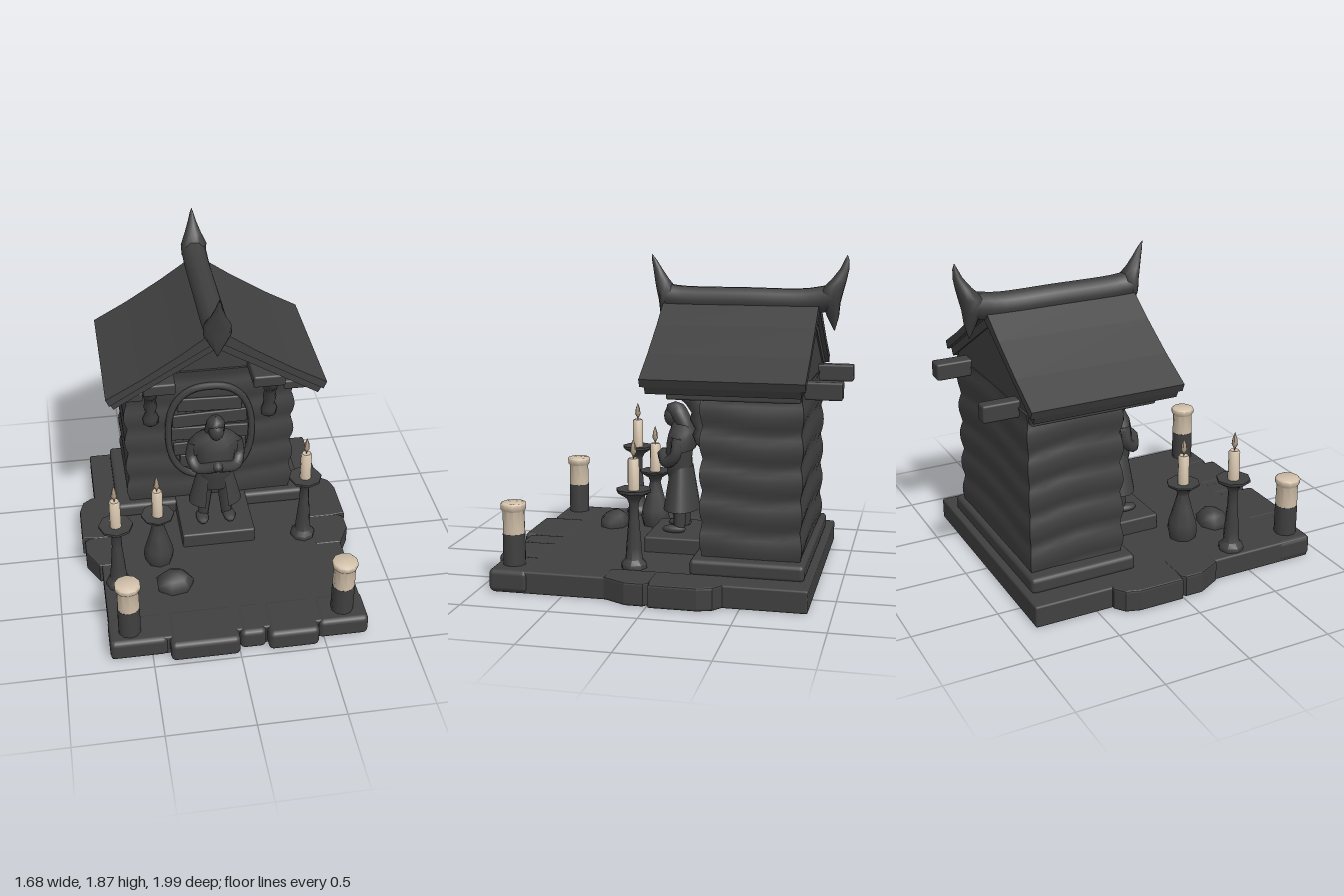
import * as THREE from 'three';
import { toCreasedNormals } from 'three/addons/utils/BufferGeometryUtils.js';
import { RoundedBoxGeometry } from 'three/addons/geometries/RoundedBoxGeometry.js';

const stone = new THREE.MeshStandardMaterial({ color: 0x404040, side: THREE.DoubleSide });
stone.name = 'dark stone';
const wax = new THREE.MeshStandardMaterial({ color: 0xd2c1aa });
wax.name = 'cream wax';
const glow = new THREE.MeshStandardMaterial({ color: 0xa8967e });
glow.name = 'flame tan';

const V = (x, y, z) => new THREE.Vector3(x, y, z);

function add(parent, name, geometry, material = stone, x = 0, y = 0, z = 0) {
  const m = new THREE.Mesh(geometry, material);
  m.name = name;
  m.position.set(x, y, z);
  parent.add(m);
  return m;
}

function group(parent, name) {
  const g = new THREE.Group();
  g.name = name;
  parent.add(g);
  return g;
}

// Box given by its limits on each axis
function block(parent, name, [x0, x1], [y0, y1], [z0, z1], r = 0.012) {
  return add(parent, name, new RoundedBoxGeometry(x1 - x0, y1 - y0, z1 - z0, 2, r),
    stone, (x0 + x1) / 2, (y0 + y1) / 2, (z0 + z1) / 2);
}

// Stack of ellipses, bottom to top; each row is [y, z centre, x radius, z radius]
function loft(rows, n = 12, xc = 0) {
  const pos = [], idx = [];
  for (const [y, z, rx, rz] of rows)
    for (let i = 0; i < n; i++) {
      const a = (i / n) * Math.PI * 2;
      pos.push(xc + rx * Math.cos(a), y, z + rz * Math.sin(a));
    }
  for (let r = 0; r < rows.length - 1; r++)
    for (let i = 0; i < n; i++) {
      const p = r * n + i, q = r * n + ((i + 1) % n);
      idx.push(p, p + n, q, q, p + n, q + n);
    }
  const g = new THREE.BufferGeometry();
  g.setAttribute('position', new THREE.Float32BufferAttribute(pos, 3));
  g.setIndex(idx);
  g.computeVertexNormals();
  return g;
}

function lathe(points, n = 8) {
  return toCreasedNormals(new THREE.LatheGeometry(points.map(p => new THREE.Vector2(...p)), n), 0.9);
}

// Front silhouette pushed along z
function prism(points, z0, z1) {
  const s = new THREE.Shape(points.map(p => new THREE.Vector2(...p)));
  return new THREE.ExtrudeGeometry(s, { depth: z1 - z0, bevelEnabled: false }).translate(0, 0, z0);
}

const mirrorX = half => [...half, ...half.filter(p => p[0] !== 0).reverse().map(([x, y]) => [-x, y])];

function buildBase(root) {
  const g = group(root, 'base');
  block(g, 'slab', [-0.735, 0.75], [0, 0.13], [-0.87, 0.91]);
  // Uneven edging stones
  for (const [x0, x1, z] of [[-0.74, -0.41, 0.925], [-0.4, 0, 0.985], [0.005, 0.155, 0.945], [0.165, 0.46, 0.98], [0.465, 0.76, 0.93]])
    block(g, 'frontEdgeStone', [x0, x1], [0.002, 0.133], [0.7, z], 0.03);
  for (const s of [-1, 1])
    for (const [z0, z1, x, cut] of [[-0.4, -0.01, 0.83, -1], [0, 0.25, 0.815, 1]]) {
      const sh = new THREE.Shape([[0.6, z0], [0.75, z0], [x - 0.025, z0 + (cut < 0 ? 0.04 : 0)], [x, z0 + (cut < 0 ? 0.12 : 0.02)],
        [x, z1 - (cut < 0 ? 0.01 : 0.13)], [0.745, z1], [0.6, z1]].map(([a, b]) => new THREE.Vector2(s * a, b)));
      const e = new THREE.ExtrudeGeometry(sh, { depth: 0.105, bevelThickness: 0.013, bevelSize: 0.008, bevelSegments: 2 });
      add(g, 'sideEdgeStone', e.rotateX(Math.PI / 2), stone, 0, 0.12, 0);
    }
  block(g, 'housePlinth', [-0.6, 0.6], [0.12, 0.215], [-0.83, -0.19], 0.025);
  block(g, 'statuePlinth', [-0.225, 0.225], [0.12, 0.222], [-0.24, 0.16]);
  const rock = loft([[0.13, 0.49, 0.11, 0.09], [0.17, 0.49, 0.115, 0.095], [0.205, 0.485, 0.08, 0.065], [0.225, 0.48, 0.04, 0.03], [0.228, 0.48, 0.001, 0.001]], 7, -0.32);
  add(g, 'rock', rock);
}

function buildHouse(root) {
  const g = group(root, 'house');
  // Wall with soft bulging courses
  const wall = new THREE.BoxGeometry(1.04, 0.96, 0.56, 10, 32, 6);
  const p = wall.attributes.position;
  for (let i = 0; i < p.count; i++) {
    const x = p.getX(i), y = p.getY(i), z = p.getZ(i);
    const b = 0.022 * Math.abs(Math.sin((y + 0.48) * 17 + 0.5 * Math.sin(x * 4 + z * 6))) - 0.012;
    if (Math.abs(x) > 0.519) p.setX(i, x + Math.sign(x) * b);
    if (Math.abs(z) > 0.279) p.setZ(i, z + Math.sign(z) * b * 0.7);
  }
  wall.deleteAttribute('uv');
  add(g, 'wall', toCreasedNormals(wall, 0.8), stone, 0, 0.68, -0.52);
  add(g, 'gable', prism(mirrorX([[0, 1.54], [0.53, 1.19], [0.53, 1.12]]), -0.79, -0.25));

  // Oval niche frame with boards inside
  const ring = [];
  for (let i = 0; i < 24; i++) {
    const a = (i / 24) * Math.PI * 2, c = Math.cos(a), s = Math.sin(a);
    ring.push(V(0.26 * Math.sign(c) * Math.abs(c) ** 0.8, 0.72 + 0.335 * Math.sign(s) * Math.abs(s) ** 0.85, -0.225));
  }
  add(g, 'nicheFrame', new THREE.TubeGeometry(new THREE.CatmullRomCurve3(ring, true), 48, 0.022, 6, true));
  for (let i = 0; i < 5; i++) {
    const y = 0.5 + i * 0.105, w = 0.24 * Math.sqrt(1 - ((y - 0.72) / 0.36) ** 2);
    block(g, 'nicheBoard', [-w, w], [y - 0.047, y + 0.047], [-0.25, -0.222], 0.008).rotation.z = (i % 2 - 0.5) * 0.06;
  }

  // Roof: two stacked layers
  add(g, 'roof', prism([...mirrorX([[0, 1.63], [0.22, 1.475], [0.44, 1.335], [0.645, 1.22], [0.625, 1.175]]).slice(0, 5),
    [0, 1.55], [-0.625, 1.175], [-0.645, 1.22], [-0.44, 1.335], [-0.22, 1.475]], -0.825, 0.08));
  add(g, 'roofUnderlay', prism([[0, 1.555], [0.625, 1.18], [0.6, 1.135], [0, 1.49], [-0.6, 1.135], [-0.625, 1.18]], -0.8, 0.055));

  // Ridge and horned finials
  const ridge = new THREE.TubeGeometry(new THREE.CatmullRomCurve3([V(0, 1.625, 0.09), V(0, 1.61, 0), V(0, 1.605, -0.4), V(0, 1.605, -0.75), V(0, 1.63, -0.9)]), 16, 0.077, 10);
  add(g, 'ridge', ridge);
  add(g, 'frontFinial', loft([[1.455, 0.08, 0.002, 0.002], [1.53, 0.085, 0.04, 0.025], [1.6, 0.08, 0.082, 0.035], [1.66, 0.07, 0.078, 0.06],
    [1.72, 0.1, 0.045, 0.042], [1.78, 0.125, 0.024, 0.026], [1.83, 0.145, 0.011, 0.015], [1.865, 0.16, 0.001, 0.001]], 10));
  add(g, 'backFinial', loft([[1.44, -0.91, 0.002, 0.002], [1.52, -0.9, 0.035, 0.035], [1.6, -0.89, 0.075, 0.052], [1.67, -0.89, 0.08, 0.07],
    [1.73, -0.93, 0.05, 0.045], [1.79, -0.96, 0.026, 0.027], [1.84, -0.972, 0.012, 0.014], [1.87, -0.975, 0.001, 0.001]], 10));

  // Beams and carved brackets
  block(g, 'backBeam', [-0.405, -0.325], [1.1, 1.2], [-1, -0.7]);
  block(g, 'backBeam', [0.31, 0.41], [1.1, 1.2], [-1, -0.7]);
  for (const s of [-1, 1]) {
    const span = (a, b) => s > 0 ? [a, b] : [-b, -a];
    block(g, 'crossBeam', span(0.23, 0.42), [1.155, 1.23], [-0.26, -0.01]);
    block(g, 'eavePurlin', span(0.42, 0.56), [1.1, 1.16], [-0.79, -0.05]);
    add(g, 'bracket', loft([[0.8, -0.21, 0.002, 0.002], [0.825, -0.21, 0.045, 0.03], [0.87, -0.21, 0.05, 0.05], [0.91, -0.215, 0.032, 0.04],
      [0.96, -0.2, 0.042, 0.055], [1.0, -0.21, 0.034, 0.055], [1.05, -0.19, 0.045, 0.07], [1.08, -0.17, 0.036, 0.09], [1.13, -0.15, 0.045, 0.1], [1.17, -0.15, 0.045, 0.1]], 8, s * 0.365));
  }
}

function buildStatue(root) {
  const g = group(root, 'statue');
  add(g, 'torso', loft([[0.46, -0.02, 0.09, 0.06], [0.56, -0.01, 0.1, 0.075], [0.66, 0, 0.115, 0.08], [0.76, -0.01, 0.13, 0.08],
    [0.81, -0.015, 0.125, 0.075], [0.85, -0.015, 0.07, 0.06], [0.88, 0, 0.04, 0.04]], 12));
  // Long coat, open at the front
  const coat = new THREE.CylinderGeometry(0.1, 0.165, 0.26, 16, 3, true, 0.45, Math.PI * 2 - 0.9);
  add(g, 'coatSkirt', coat, stone, 0, 0.485, -0.02).scale.z = 0.66;
  // Shoulder cape and hooded head
  add(g, 'cape', loft([[0.72, -0.03, 0.165, 0.07], [0.79, -0.03, 0.165, 0.085], [0.83, -0.03, 0.12, 0.08], [0.87, -0.02, 0.06, 0.055]], 12));
  add(g, 'head', new THREE.SphereGeometry(1, 12, 10), stone, 0, 0.91, 0.04).scale.set(0.046, 0.062, 0.05);
  add(g, 'hood', loft([[0.77, -0.065, 0.06, 0.045], [0.84, -0.05, 0.065, 0.05], [0.9, -0.015, 0.06, 0.062], [0.95, 0.012, 0.056, 0.064], [0.98, 0.02, 0.04, 0.05], [0.998, 0.02, 0.002, 0.002]], 12));
  for (const s of [-1, 1]) {
    const arm = new THREE.CatmullRomCurve3([V(s * 0.13, 0.8, -0.02), V(s * 0.145, 0.7, -0.01), V(s * 0.115, 0.65, 0.045), V(s * 0.01, 0.68, 0.095)]);
    add(g, 'arm', new THREE.TubeGeometry(arm, 12, 0.035, 8));
    add(g, 'leg', new THREE.CylinderGeometry(0.05, 0.033, 0.27, 8), stone, s * 0.066, 0.365, -0.02).rotation.z = s * 0.07;
    add(g, 'foot', new THREE.SphereGeometry(1, 10, 6), stone, s * 0.085, 0.24, 0.01).scale.set(0.04, 0.025, 0.075);
  }
  add(g, 'hands', new THREE.SphereGeometry(0.034, 8, 6), stone, 0, 0.68, 0.09);
}

function candlestick(root, x, z, top, profile) {
  const g = group(root, 'candlestick');
  g.position.set(x, 0, z);
  add(g, 'holder', lathe(profile));
  add(g, 'candle', lathe([[0, top - 0.01], [0.034, top - 0.01], [0.033, top + 0.17], [0.026, top + 0.18], [0, top + 0.172]], 10), wax);
  add(g, 'flame', lathe([[0, top + 0.17], [0.005, top + 0.19], [0.018, top + 0.215], [0.014, top + 0.25], [0, top + 0.29]], 8), glow);
}

function buildCandles(root) {
  const tall = [[0, 0.13], [0.075, 0.13], [0.075, 0.155], [0.05, 0.18], [0.045, 0.25], [0.03, 0.42], [0.028, 0.5], [0.045, 0.535], [0.1, 0.57], [0.1, 0.585], [0, 0.575]];
  const short = [[0, 0.13], [0.08, 0.13], [0.092, 0.18], [0.085, 0.23], [0.055, 0.33], [0.035, 0.41], [0.045, 0.44], [0.1, 0.475], [0.1, 0.485], [0, 0.475]];
  candlestick(root, -0.645, 0.42, 0.58, tall);
  candlestick(root, 0.53, 0.14, 0.58, tall);
  candlestick(root, -0.385, 0.24, 0.48, short);
  for (const s of [-1, 1]) {
    const g = group(root, 'pillarCandle');
    g.position.set(s * 0.62, 0, 0.82);
    add(g, 'candleCup', new THREE.CylinderGeometry(0.066, 0.066, 0.19, 10), stone, 0, 0.22, 0);
    add(g, 'candleWax', lathe([[0.065, 0.314], [0.063, 0.445], [0.074, 0.458], [0.075, 0.485], [0.066, 0.493], [0, 0.49]], 10), wax);
  }
}

export function createModel() {
  const root = new THREE.Group();
  root.name = 'shrine';
  buildBase(root);
  buildHouse(root);
  buildStatue(root);
  buildCandles(root);
  return root;
}
